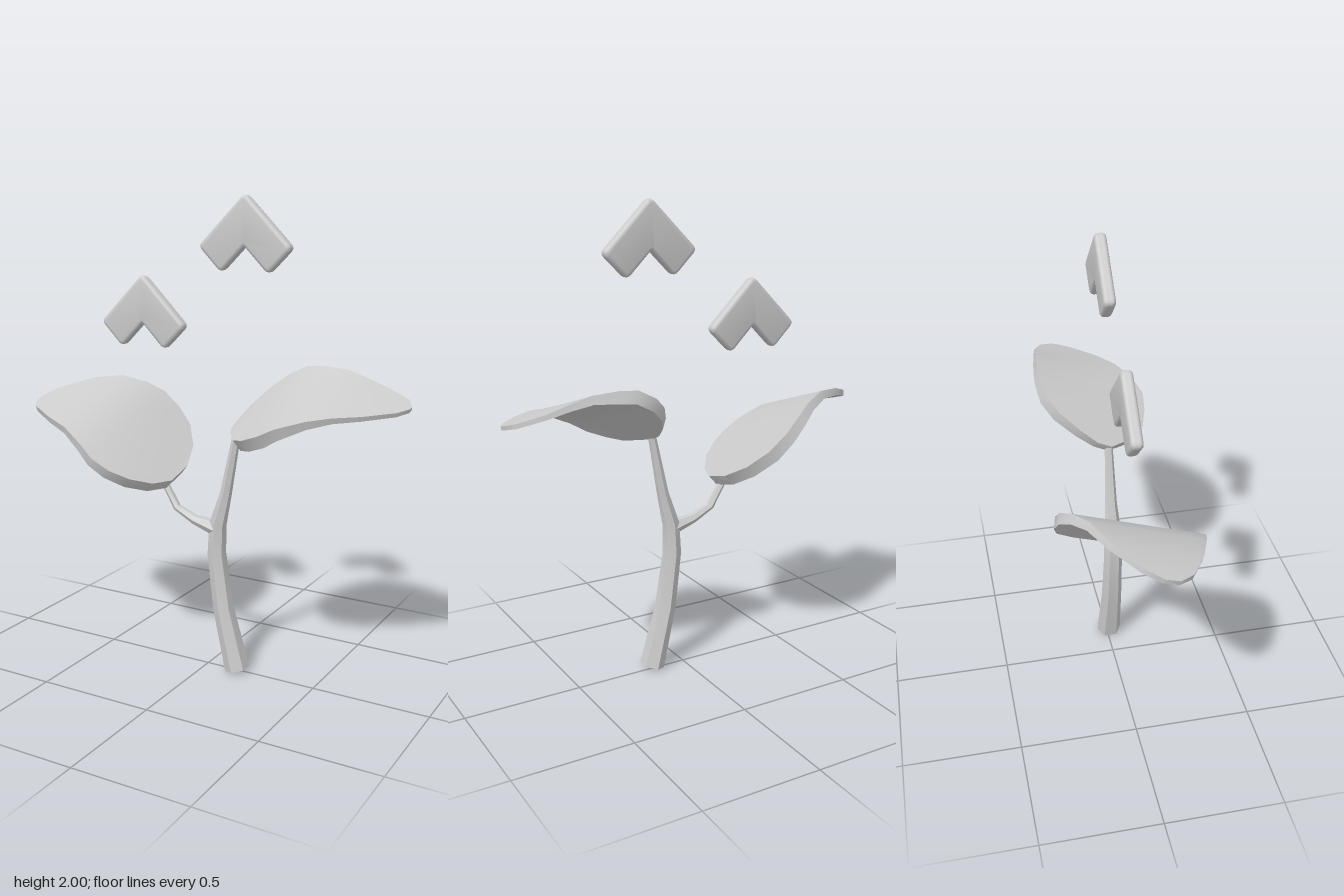
import * as THREE from 'three';
import { toCreasedNormals } from 'three/addons/utils/BufferGeometryUtils.js';

const grey = new THREE.MeshStandardMaterial({ color: 0xcccccc });
grey.name = 'plain grey';

// Skin over a row of equal-length closed rings, capped at both ends
function loft(rings, crease) {
  const n = rings[0].length, index = [];
  const last = (rings.length - 1) * n;
  for (let i = 0; i < rings.length - 1; i++) {
    for (let j = 0; j < n; j++) {
      const a = i * n + j, b = i * n + (j + 1) % n;
      index.push(a, b, a + n, b, b + n, a + n);
    }
  }
  for (let j = 1; j < n - 1; j++) {
    index.push(0, j + 1, j, last, last + j, last + j + 1);
  }
  const g = new THREE.BufferGeometry();
  g.setAttribute('position', new THREE.Float32BufferAttribute(rings.flat(2), 3));
  g.setIndex(index);
  return toCreasedNormals(g, crease);
}

// Tapered six-sided stalk along points [x, y, radius] at depth z
function stalk(points, z) {
  const rings = points.map(([x, y, r], i) => {
    const p = points[Math.max(i - 1, 0)], q = points[Math.min(i + 1, points.length - 1)];
    const len = Math.hypot(q[0] - p[0], q[1] - p[1]);
    const tx = (q[0] - p[0]) / len, ty = (q[1] - p[1]) / len;
    return Array.from({ length: 6 }, (_, k) => {
      const a = Math.PI / 6 + k * Math.PI / 3, u = r * 0.95 * Math.cos(a);
      return [x - ty * u, y + tx * u, z + r * Math.sin(a)];
    });
  });
  return loft(rings, 0.4);
}

// Bent leaf plate from stations [x, zBack, zFront, y at z = 0, slope over z, thickness]
function leaf(stations) {
  const across = 8;
  const rings = stations.map(([x, zb, zf, y, s, t], i) => {
    const p = stations[Math.max(i - 1, 0)], q = stations[Math.min(i + 1, stations.length - 1)];
    const normal = new THREE.Vector3(-(q[3] - p[3]) / (q[0] - p[0]), 1, -s).normalize();
    const top = [], under = [];
    for (let j = 0; j <= across; j++) {
      const z = zb + (zf - zb) * j / across, h = y + s * z;
      top.push([x, h, z]);
      under.unshift([x - normal.x * t, h - normal.y * t, z - normal.z * t]);
    }
    return [...top, ...under];
  });
  return loft(rings, 0.7);
}

// Chevron plate with rounded outer corners and soft edges, peak at the origin
function chevron() {
  const pts = [[0, 0.009], [0.209, -0.2], [0.105, -0.304], [0, -0.199], [-0.105, -0.304], [-0.209, -0.2]]
    .map(p => new THREE.Vector2(...p));
  const shape = new THREE.Shape();
  pts.forEach((p, i) => {
    const r = i === 3 ? 0.002 : 0.025;
    const toward = q => q.clone().sub(p).setLength(r).add(p);
    const a = toward(pts[(i + 5) % 6]), b = toward(pts[(i + 1) % 6]);
    if (i === 0) shape.moveTo(a.x, a.y); else shape.lineTo(a.x, a.y);
    shape.quadraticCurveTo(p.x, p.y, b.x, b.y);
  });
  shape.closePath();
  const g = new THREE.ExtrudeGeometry(shape, {
    depth: 0.016, curveSegments: 4, bevelEnabled: true,
    bevelSize: 0.016, bevelThickness: 0.016, bevelOffset: -0.016, bevelSegments: 3,
  });
  g.translate(0, 0, -0.008);
  return toCreasedNormals(g, 0.7);
}

export function createModel() {
  const model = new THREE.Group();
  model.name = 'sprout';
  const add = (name, geometry, x = 0, y = 0, z = 0) => {
    const mesh = new THREE.Mesh(geometry, grey);
    mesh.name = name;
    mesh.position.set(x, y, z);
    model.add(mesh);
  };

  // Stem and side branch
  add('stem', stalk([
    [0.148, 0.014, 0.055], [0.08, 0.28, 0.046], [0.047, 0.52, 0.041],
    [0.052, 0.65, 0.038], [0.09, 0.79, 0.026], [0.142, 1.06, 0.017],
  ], 0.01));
  add('branch', stalk([
    [0.05, 0.63, 0.036], [-0.06, 0.654, 0.022], [-0.145, 0.695, 0.018], [-0.215, 0.81, 0.016],
  ], 0.013));

  // Leaves
  add('rightLeaf', leaf([
    [-0.84, 0.01, 0.07, 1.125, -0.30, 0.02],
    [-0.80, -0.05, 0.13, 1.132, -0.30, 0.025],
    [-0.68, -0.15, 0.20, 1.138, -0.33, 0.03],
    [-0.56, -0.205, 0.245, 1.13, -0.34, 0.035],
    [-0.46, -0.25, 0.275, 1.085, -0.34, 0.04],
    [-0.39, -0.285, 0.29, 1.035, -0.33, 0.045],
    [-0.32, -0.295, 0.272, 0.975, -0.30, 0.05],
    [-0.25, -0.275, 0.22, 0.915, -0.28, 0.055],
    [-0.19, -0.20, 0.135, 0.86, -0.28, 0.055],
    [-0.155, -0.09, 0.04, 0.83, -0.28, 0.055],
  ]));
  add('leftLeaf', leaf([
    [0.115, -0.04, 0.02, 1.075, -0.45, 0.045],
    [0.14, -0.11, 0.065, 1.095, -0.48, 0.05],
    [0.19, -0.19, 0.14, 1.122, -0.48, 0.055],
    [0.25, -0.235, 0.185, 1.155, -0.47, 0.055],
    [0.33, -0.245, 0.21, 1.195, -0.46, 0.055],
    [0.41, -0.245, 0.22, 1.222, -0.38, 0.05],
    [0.52, -0.24, 0.185, 1.232, -0.32, 0.035],
    [0.61, -0.23, 0.135, 1.222, -0.26, 0.025],
    [0.70, -0.22, 0.07, 1.205, -0.22, 0.02],
    [0.80, -0.18, -0.04, 1.187, -0.20, 0.018],
    [0.83, -0.125, -0.10, 1.182, -0.20, 0.016],
  ]));

  // Floating chevrons
  add('upperChevron', chevron(), 0.16, 2.0, -0.018);
  add('lowerChevron', chevron(), -0.32, 1.67, -0.018);
  return model;
}
